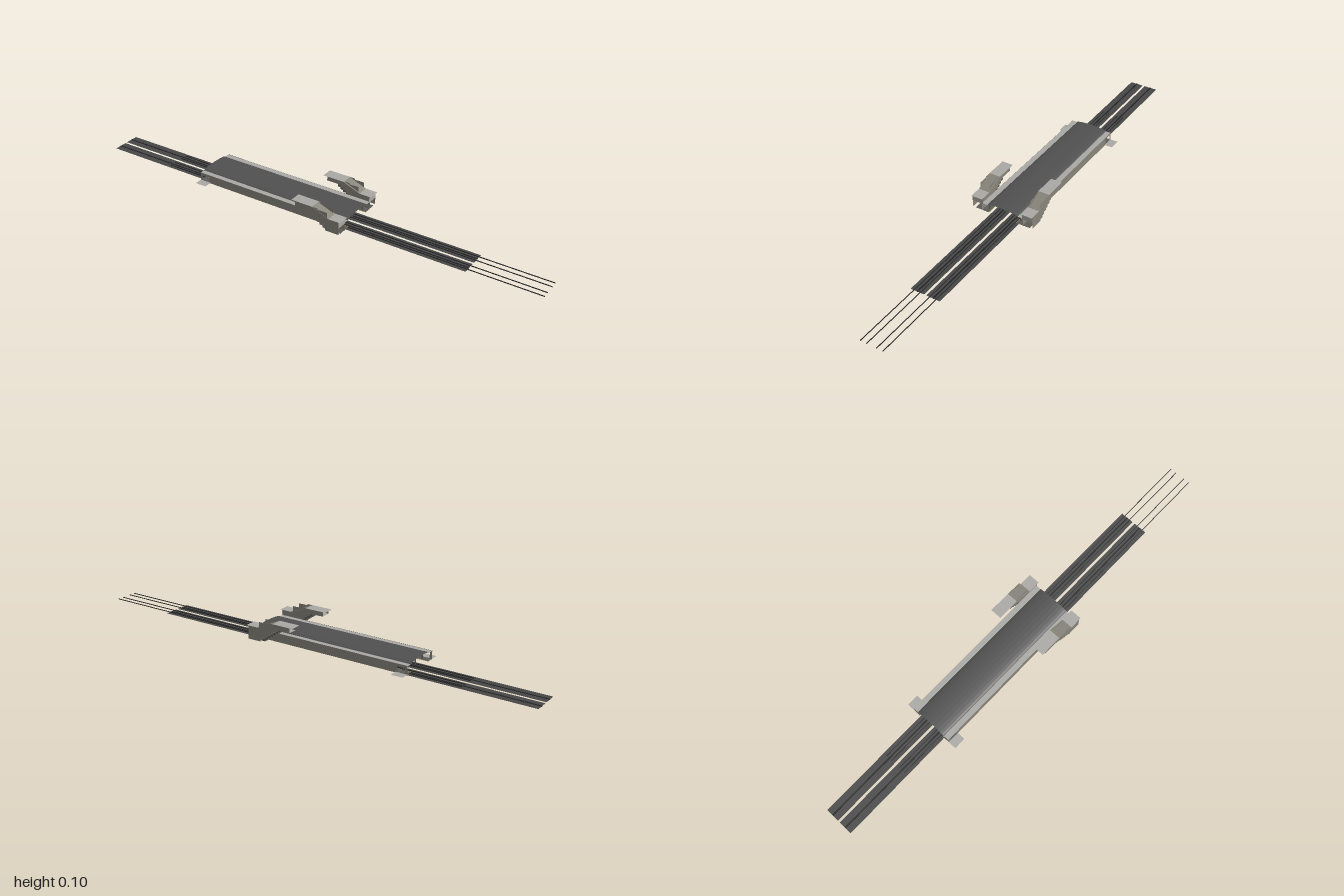
import * as THREE from 'three';

const mat = (name, color, side = THREE.FrontSide) => {
  const m = new THREE.MeshStandardMaterial({ color, side });
  m.name = name;
  return m;
};

export function createModel() {
  const model = new THREE.Group();
  model.name = 'undergroundStation';
  const concrete = mat('concrete', 0x87847a, THREE.DoubleSide);
  const pale = mat('paleConcrete', 0xa9a8a4, THREE.DoubleSide);
  const roofGrey = mat('roofGrey', 0x505050, THREE.DoubleSide);
  const ballast = mat('ballast', 0x464646, THREE.DoubleSide);
  const steel = mat('railSteel', 0x2c2c2c);
  const floorGrey = mat('floorGrey', 0x5c5b57, THREE.DoubleSide);
  const silver = mat('trainSilver', 0xb0b0ae);
  const black = mat('trainBlack', 0x222222);
  const yellow = mat('stripYellow', 0xa8963c);

  const add = (name, geo, material, parent = model) => {
    const mesh = new THREE.Mesh(geo, material);
    mesh.name = name;
    parent.add(mesh);
    return mesh;
  };
  // box given by its minimum and maximum corners
  const box = (name, m, x0, x1, y0, y1, z0, z1, parent) => {
    const b = add(name, new THREE.BoxGeometry(x1 - x0, y1 - y0, z1 - z0), m, parent);
    b.position.set((x0 + x1) / 2, (y0 + y1) / 2, (z0 + z1) / 2);
    return b;
  };
  // level sheet facing up
  const slab = (name, m, x0, x1, y, z0, z1, parent) => {
    const p = add(name, new THREE.PlaneGeometry(x1 - x0, Math.abs(z1 - z0)).rotateX(-Math.PI / 2), m, parent);
    p.position.set((x0 + x1) / 2, y, (z0 + z1) / 2);
  };
  const vectors = pts => pts.map(p => new THREE.Vector2(p[0], p[1]));
  // sheet following an (a, b) polyline, swept between two values of the third axis
  const sheet = (pts, c0, c1, place) => {
    const pos = [], index = [];
    pts.forEach(([a, b], i) => {
      pos.push(...place(a, b, c0), ...place(a, b, c1));
      if (i) index.push(2 * i - 2, 2 * i - 1, 2 * i, 2 * i, 2 * i - 1, 2 * i + 1);
    });
    const g = new THREE.BufferGeometry();
    g.setAttribute('position', new THREE.Float32BufferAttribute(pos, 3));
    g.setIndex(index);
    const flat = g.toNonIndexed();
    flat.computeVertexNormals();
    return flat;
  };

  // Track beds with a dark centre channel, and rails
  for (const s of [-1, 1]) {
    const track = new THREE.Group();
    track.name = 'track';
    track.position.z = s * 0.0345;
    model.add(track);
    slab('trackBed', ballast, -1, 0.7, 0.0015, -0.0295, 0.0295, track);
    box('centreChannel', black, -1, 0.7, 0, 0.0025, -0.003, 0.003, track);
    for (const r of [-0.0135, 0.0135])
      box('rail', steel, -0.7, 1, 0.002, 0.005, r - 0.0012, r + 0.0012, track);
  }

  // Low arched roof over the tracks
  const arch = [];
  for (let i = 0; i <= 12; i++) {
    const a = Math.PI * i / 12;
    arch.push([-0.07 * Math.cos(a), 0.051 + 0.009 * Math.sin(a)]);
  }
  add('archedRoof', sheet(arch, 0.2, -0.5, (z, y, x) => [x, y, z]), roofGrey);

  // Centre columns between the tracks
  for (let i = 0; i < 15; i++)
    box('centreColumn', floorGrey, -0.482 + i * 0.047, -0.478 + i * 0.047, 0.02, 0.053, -0.0015, 0.0015);

  // Stairwell outline: stepped parapet, then a toothed underside below the steps
  const stairWall = [[0, 0.105], [0.105, 0.105], [0.105, 0.1], [0.147, 0.1], [0.147, 0.075], [0.2, 0.075], [0.2, 0.019]];
  const teeth = 7, run = 0.09 / teeth, rise = 0.063 / teeth;
  for (let i = 0; i < teeth; i++)
    stairWall.push([0.14 - i * run, 0.019 + i * rise], [0.14 - i * run, 0.019 + (i + 1) * rise]);
  stairWall.push([0.05, 0.084], [0, 0.084]);
  // roof between the parapets: upper slab, slope, lower slab
  const roofLine = [[-0.015, 0.105], [0.08, 0.105], [0.155, 0.075], [0.208, 0.075]];

  for (const s of [-1, 1]) {
    const half = new THREE.Group();
    half.name = s > 0 ? 'frontHalf' : 'backHalf';
    model.add(half);
    const zBox = (name, m, x0, x1, y0, y1, z0, z1) =>
      box(name, m, x0, x1, y0, y1, Math.min(s * z0, s * z1), Math.max(s * z0, s * z1), half);
    const zSlab = (name, m, x0, x1, y, z0, z1) => slab(name, m, x0, x1, y, s * z0, s * z1, half);

    // Platform with its warning strip
    zSlab('platform', floorGrey, -0.5, 0.2, 0.018, 0.062, 0.093);
    zSlab('platformEdge', yellow, -0.5, 0.2, 0.0185, 0.062, 0.064);

    // Outer wall with doorways, and the flat ceiling strip
    const wall = new THREE.Shape(vectors([[-0.5, 0.015], [0.2, 0.015], [0.2, 0.052], [-0.5, 0.052]]));
    for (const [x0, x1] of [[-0.49, -0.455], [0.15, 0.19]])
      wall.holes.push(new THREE.Path(vectors([[x0, 0.019], [x0, 0.043], [x1, 0.043], [x1, 0.019]])));
    add('outerWall', new THREE.ShapeGeometry(wall), concrete, half).position.z = s * 0.093;
    zSlab('sideCeiling', pale, -0.5, 0.2, 0.051, 0.07, 0.093);

    // Slim platform columns
    for (let i = 0; i < 14; i++)
      zBox('platformColumn', floorGrey, -0.472 + i * 0.05, -0.468 + i * 0.05, 0.019, 0.043, 0.069, 0.072);

    // Landing outside the far doorway
    zSlab('sideLanding', pale, -0.5, -0.45, 0.018, 0.093, 0.128);

    // Stairwell: side walls, roof, end wall and landings
    for (const z of [0.0938, 0.136])
      add('stairwellWall', new THREE.ShapeGeometry(new THREE.Shape(vectors(stairWall))), concrete, half).position.z = s * z;
    const across = [-1, 1].map(e => s * 0.1128 + e * 0.0243);
    const place = (x, y, z) => [x, y, z];
    [pale, concrete, pale].forEach((m, i) =>
      add('stairwellRoof', sheet(roofLine.slice(i, i + 2), across[0], across[1], place), m, half));
    add('stairwellEndWall', sheet([[0.2, 0.075], [0.2, 0.048]], across[0], across[1], place), pale, half);
    zSlab('lowerLanding', floorGrey, 0.14, 0.2, 0.0185, 0.093, 0.124);
    zSlab('upperLanding', pale, 0, 0.05, 0.0845, 0.0938, 0.136);

    // Steps rising towards the street exit
    for (let i = 0; i < teeth; i++) {
      const x = 0.14 - i * run, y = 0.019 + (i + 1) * rise;
      zBox('step', floorGrey, x - run, x, y - rise, y, 0.0942, 0.124);
      zBox('stepNosing', yellow, x - 0.001, x + 0.0003, y - 0.0008, y + 0.0004, 0.1, 0.12);
    }
  }

  // Train of five cars on the front track
  const section = new THREE.Shape();
  section.moveTo(-0.016, 0.012);
  section.lineTo(0.016, 0.012);
  section.lineTo(0.0185, 0.026);
  section.lineTo(0.0165, 0.041);
  section.quadraticCurveTo(0.013, 0.048, 0, 0.0485);
  section.quadraticCurveTo(-0.013, 0.048, -0.0165, 0.041);
  section.lineTo(-0.0185, 0.026);
  section.closePath();
  const carLength = 0.104;
  const body = new THREE.ExtrudeGeometry(section, { depth: carLength, bevelEnabled: false, curveSegments: 5 });
  body.rotateY(Math.PI / 2);
  const wheel = new THREE.CylinderGeometry(0.004, 0.004, 0.003, 12).rotateX(Math.PI / 2);
  const train = new THREE.Group();
  train.name = 'train';
  train.position.z = 0.0345;
  model.add(train);
  for (let c = 0; c < 5; c++) {
    const car = new THREE.Group();
    car.name = 'trainCar';
    car.position.x = -0.41 + c * 0.108;
    train.add(car);
    add('carBody', body, silver, car);
    box('underframe', black, 0.035, 0.069, 0.007, 0.012, -0.012, 0.012, car);
    if (c < 4) box('gangway', black, carLength, 0.108, 0.014, 0.042, -0.01, 0.01, car);
    // Window bands
    for (const s of [-1, 1]) {
      for (let w = 0; w < 5; w++) {
        const win = box('sideWindow', black, 0.006 + w * 0.0195, 0.02 + w * 0.0195, 0.029, 0.037, -0.0005, 0.0005, car);
        win.position.z = s * 0.0178;
        win.rotation.x = -s * 0.13;
      }
    }
    // Bogies
    for (const x of [0.018, 0.086]) {
      box('bogieFrame', black, x - 0.012, x + 0.012, 0.008, 0.012, -0.012, 0.012, car);
      for (const dx of [-0.007, 0.007]) for (const z of [-0.0135, 0.0135])
        add('wheel', wheel, black, car).position.set(x + dx, 0.009, z);
    }
  }
  // Cab windows, door and bumper at both ends
  for (const x of [-0.4105, -0.41 + 4 * 0.108 + carLength + 0.0005]) {
    for (const z of [-0.0095, 0.0095])
      box('cabWindow', black, x - 0.0005, x + 0.0005, 0.028, 0.037, z - 0.0045, z + 0.0045, train);
    box('cabDoor', floorGrey, x - 0.0005, x + 0.0005, 0.014, 0.042, -0.003, 0.003, train);
    box('bumper', black, x - 0.0015, x + 0.0015, 0.01, 0.014, -0.013, 0.013, train);
  }

  return model;
}
